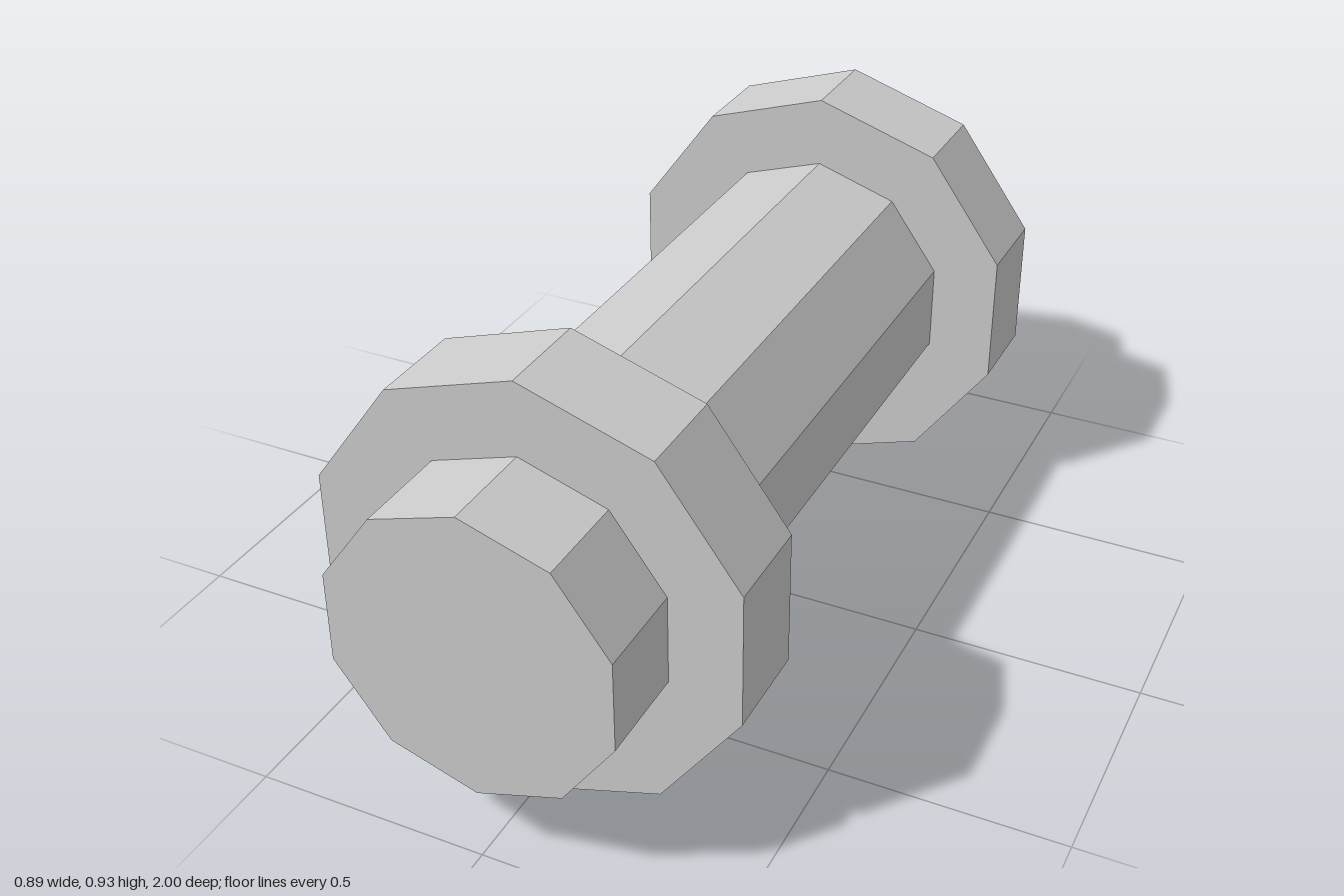
import * as THREE from 'three';

const SIDES = 10;
const AXIS_Y = 0.466;

export function createModel() {
  const group = new THREE.Group();
  const material = new THREE.MeshStandardMaterial({ color: 0xcccccc, flatShading: true });

  // Ten-sided prism lying along z, with a corner pointing straight up
  function addPrism(name, radius, length, z) {
    const geometry = new THREE.CylinderGeometry(radius, radius, length, SIDES);
    geometry.rotateX(Math.PI / 2);
    const mesh = new THREE.Mesh(geometry, material);
    mesh.name = name;
    mesh.position.set(0, AXIS_Y, z);
    group.add(mesh);
  }

  // Long bar through both collars
  addPrism('bar', 0.31, 2, 0);

  // Wide collar near each end
  addPrism('frontCollar', 0.466, 0.208, 0.689);
  addPrism('backCollar', 0.466, 0.208, -0.689);

  return group;
}
